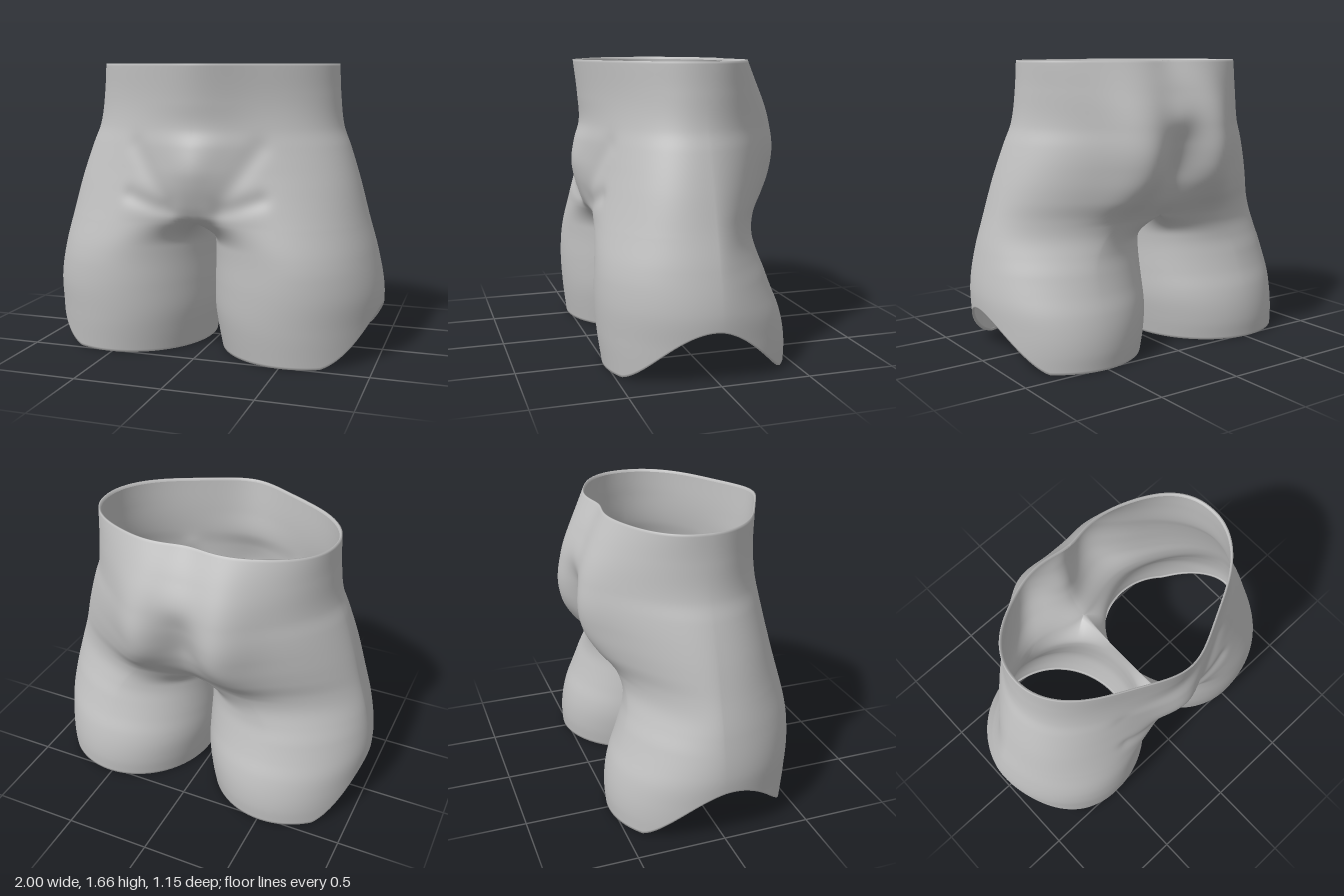
import * as THREE from 'three';
import { mergeGeometries, mergeVertices } from 'three/addons/utils/BufferGeometryUtils.js';

// Smooth curve of a measure against height, from [height, value] pairs in rising order
function curve(pairs) {
  const c = new THREE.CubicInterpolant(pairs.map(p => p[0]), pairs.map(p => p[1]), 1, new Float32Array(1));
  return y => c.evaluate(y)[0];
}
const { lerp: mix, clamp, smoothstep } = THREE.MathUtils;

const WAIST = 1.66, CROTCH = 0.77;
const OUTER = 96, INNER = 32, SPLIT = THREE.MathUtils.degToRad(140);

// Outline measures by height
const outerX = curve([[0, 0.99], [0.2, 0.995], [0.38, 1], [0.6, 0.962], [0.8, 0.905], [1, 0.85], [1.2, 0.785],
  [1.3, 0.747], [1.5, 0.72], [1.66, 0.71]]);
const innerX = curve([[0, 0.045], [0.12, 0.022], [0.25, 0.003], [0.4, 0.002], [0.55, 0.007], [0.7, 0.002], [0.8, 0.002]]);
const frontZ = curve([[0, 0.515], [0.2, 0.54], [0.4, 0.55], [0.6, 0.54], [0.79, 0.52], [0.9, 0.51], [1, 0.5],
  [1.2, 0.47], [1.3, 0.455], [1.45, 0.445], [1.66, 0.46]]);
const backZ = curve([[0, 0.52], [0.1, 0.525], [0.2, 0.515], [0.3, 0.49], [0.4, 0.45], [0.5, 0.415], [0.6, 0.385],
  [0.7, 0.38], [0.8, 0.42], [0.9, 0.49], [1, 0.54], [1.15, 0.568], [1.3, 0.555], [1.4, 0.53], [1.5, 0.49], [1.66, 0.41]]);
// Centre line, front and back
const frontMidZ = curve([[0.77, 0.44], [0.8, 0.48], [0.84, 0.505], [0.9, 0.53], [1, 0.56], [1.08, 0.57], [1.2, 0.55],
  [1.3, 0.518], [1.45, 0.525], [1.66, 0.55]]);
const backMidZ = curve([[0.77, 0.32], [0.85, 0.39], [0.95, 0.435], [1.05, 0.46], [1.2, 0.505], [1.35, 0.535], [1.5, 0.475],
  [1.66, 0.385]]);
const frontSpread = curve([[0.77, 0.16], [1.1, 0.18], [1.3, 0.25], [1.66, 0.25]]);
// Roundness of the front, back and rear thigh, and fullness of the seat
const frontSquareness = curve([[0.77, 2.6], [1, 2.4], [1.3, 2.15], [1.66, 2]]);
const backSquareness = curve([[0.77, 1.7], [1, 1.7], [1.3, 1.78], [1.5, 2], [1.66, 2.3]]);
const thighSquareness = curve([[0, 2], [0.25, 1.95], [0.5, 1.72], [0.7, 1.6], [1.05, 1.55]]);
const seatFullness = curve([[0.77, 0], [0.9, 0.04], [1.1, 0.06], [1.3, 0.05], [1.5, 0.025], [1.66, 0.01]]);

// Front cloth creases: ends in x, y, then depth and width
const creases = [[0.15, 0.84, 0.38, 0.92, 0.014, 0.05], [0.16, 0.9, 0.36, 1.2, 0.01, 0.06]];
function creaseDepth(x, y) {
  let sum = 0;
  for (const [x0, y0, x1, y1, depth, width] of creases) {
    const dx = x1 - x0, dy = y1 - y0;
    const k = clamp(((x - x0) * dx + (y - y0) * dy) / (dx * dx + dy * dy), 0, 1);
    const d = Math.hypot(x - x0 - k * dx, y - y0 - k * dy);
    sum += depth * Math.exp(-((d / width) ** 2));
  }
  return sum;
}

// Hip section: t runs from front centre round the side to back centre
function hipPoint(t, y) {
  const a = Math.PI * (t - 0.1 * Math.sin(2 * Math.PI * t));
  const c = Math.cos(a), e = 2 / (c > 0 ? frontSquareness(y) : backSquareness(y));
  const x = t === 0 || t === 1 ? 0 : outerX(y) * Math.sin(a) ** e;
  const r = Math.abs(c) ** e;
  if (c > 0) {
    const mid = Math.exp(-((x / frontSpread(y)) ** 2));
    return new THREE.Vector3(x, y, frontZ(y) * r + (frontMidZ(y) - frontZ(y)) * mid);
  }
  const mid = Math.exp(-((x / 0.12) ** 2));
  const seat = seatFullness(y) * Math.exp(-(((x - 0.27) / 0.15) ** 2)) * (1 - mid);
  return new THREE.Vector3(x, y, (backZ(y) - backMidZ(y)) * mid - backZ(y) * r - seat);
}

// Saddle between the legs: k runs from back to front
function saddlePoint(k) {
  return new THREE.Vector3(0, CROTCH - 0.01 * Math.sin(Math.PI * k), mix(-backMidZ(CROTCH), frontMidZ(CROTCH), k));
}

// Angle of a column about the axis of its leg
const columnAngle = i => i <= OUTER ? SPLIT * (1 - 2 * i / OUTER)
  : -SPLIT - (2 * Math.PI - 2 * SPLIT) * (i - OUTER) / INNER;

function legPoint(i, y) {
  let c = Math.cos(columnAngle(i)), s = Math.sin(columnAngle(i));
  const mid = (outerX(y) + innerX(y)) / 2, half = (outerX(y) - innerX(y)) / 2;
  if (c > 0 && s < 0) {
    const e = 2 / thighSquareness(y);
    c = c ** e;
    s = -((-s) ** e);
  }
  return new THREE.Vector3(mid + half * c, y, s * (s > 0 ? frontZ(y) : backZ(y)));
}

// Hip flowing into leg: slowly down the sides, quickly at the crotch
function bodyPoint(i, y) {
  const t = Math.min(i / OUTER, 1);
  const start = i <= OUTER ? hipPoint(t, y) : saddlePoint((i - OUTER) / INNER);
  const top = i <= OUTER ? CROTCH : start.y;
  const quick = 1 - (1 - clamp((top - y) / 0.14, 0, 1)) ** 2;
  const slow = 1 - smoothstep(y, 0.5, 1.08);
  const side = smoothstep(Math.min(t, 1 - t), 0, 0.22);
  const p = start.lerp(legPoint(i, y), mix(quick, slow, side));
  p.y = y;
  if (p.z > 0.3) p.z -= creaseDepth(p.x, y);
  return p;
}

// Hem height: an arch on the outer side
function hemHeight(i) {
  const across = (0.53 * Math.sin(columnAngle(i)) - 0.03) / 0.45;
  const arched = Math.cos(columnAngle(i)) > 0 && Math.abs(across) < 1;
  return arched ? 0.29 * Math.cos(across * Math.PI / 2) ** 1.2 : 0;
}

// Grid of quads from rows of points
function loft(rows) {
  const n = rows[0].length, pos = [], index = [];
  for (const row of rows) for (const p of row) pos.push(p.x, p.y, p.z);
  for (let j = 0; j < rows.length - 1; j++) {
    for (let i = 0; i < n - 1; i++) {
      const a = j * n + i, b = a + n;
      index.push(a, b, a + 1, a + 1, b, b + 1);
    }
  }
  const g = new THREE.BufferGeometry();
  g.setAttribute('position', new THREE.Float32BufferAttribute(pos, 3));
  g.setIndex(index);
  return g;
}

function mirrored(g) {
  const m = g.clone().scale(-1, 1, 1), ix = m.index.array;
  for (let i = 0; i < ix.length; i += 3) [ix[i], ix[i + 1]] = [ix[i + 1], ix[i]];
  return m;
}

// Turned-in edge: each point moved towards an axis and shifted in height
const turnedIn = (row, cx, inset, dy) => row.map(p =>
  new THREE.Vector3(mix(p.x, cx, inset), p.y + dy, mix(p.z, 0, inset)));

export function createModel() {
  const cloth = new THREE.MeshStandardMaterial({ color: 0xbfbfbf, side: THREE.DoubleSide });
  cloth.name = 'grey cloth';

  // Hip rows, from the waist edge down
  const hipRows = [];
  for (let j = 0; j <= 64; j++) {
    const y = mix(WAIST, CROTCH, j / 64);
    hipRows.push(Array.from({ length: OUTER + 1 }, (_, i) => bodyPoint(i, y)));
  }
  const waistEdge = hipRows[0];
  hipRows.unshift(turnedIn(waistEdge, 0, 0.022, -0.015), turnedIn(waistEdge, 0, 0.014, 0));

  // Leg rows, from the crotch down to the hem
  const legRows = [];
  for (let j = 0; j <= 56; j++) {
    legRows.push(Array.from({ length: OUTER + INNER + 1 }, (_, i) => {
      const top = i <= OUTER ? CROTCH : saddlePoint((i - OUTER) / INNER).y;
      return bodyPoint(i, mix(top, hemHeight(i), j / 56));
    }));
  }
  const hemEdge = legRows[56];
  legRows.push(turnedIn(hemEdge, 0.5, 0.022, 0), turnedIn(hemEdge, 0.5, 0.03, 0.015));

  // Both halves sewn into one smooth surface
  const hip = loft(hipRows), leg = loft(legRows);
  const geometry = mergeVertices(mergeGeometries([hip, leg, mirrored(hip), mirrored(leg)]), 1e-4);
  geometry.computeVertexNormals();

  const shorts = new THREE.Mesh(geometry, cloth);
  shorts.name = 'shorts';
  const group = new THREE.Group();
  group.name = 'shortsModel';
  group.add(shorts);
  return group;
}
